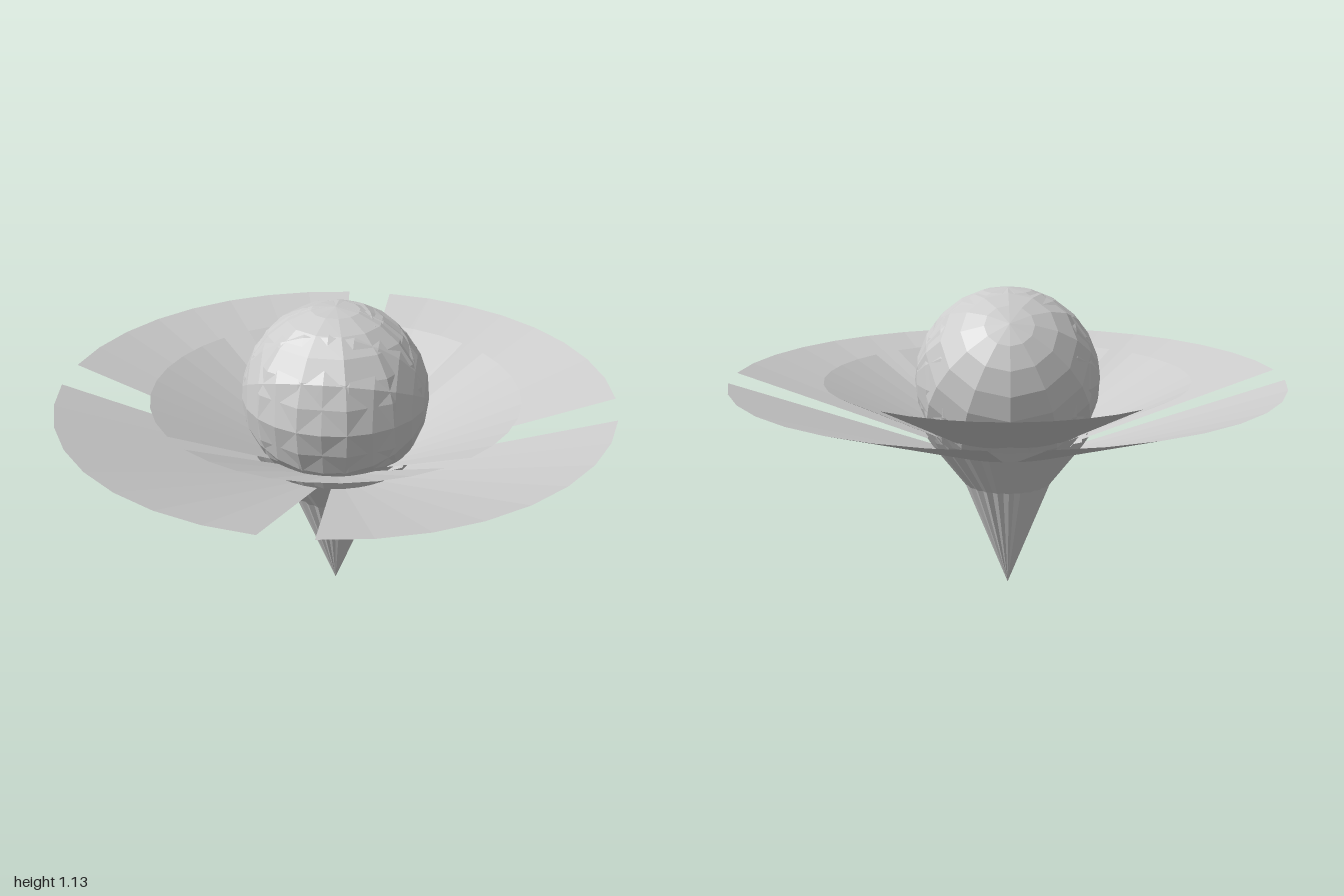
import * as THREE from 'three';

const material = new THREE.MeshStandardMaterial({ color: 0xcccccc, flatShading: true, side: THREE.DoubleSide });

function add(parent, name, geometry) {
  const mesh = new THREE.Mesh(geometry, material);
  mesh.name = name;
  parent.add(mesh);
  return mesh;
}

// Four 80 degree conical petals, open at the gaps between them
function petalRing(name, base, rim, firstAngle) {
  const ring = new THREE.Group();
  ring.name = name + 's';
  const profile = [new THREE.Vector2(...base), new THREE.Vector2(...rim)];
  const width = THREE.MathUtils.degToRad(80);
  for (let i = 0; i < 4; i++) {
    const middle = firstAngle + i * Math.PI / 2;
    add(ring, name, new THREE.LatheGeometry(profile, 8, middle - width / 2, width));
  }
  return ring;
}

export function createModel() {
  const flower = new THREE.Group();
  flower.name = 'flower';

  flower.add(petalRing('outerPetal', [0.28, 0.555], [1, 0.8], Math.PI / 4));
  flower.add(petalRing('innerPetal', [0.25, 0.59], [0.665, 0.798], 0));

  // Fluted cone below the petals, pointed at the foot
  const flutes = 24;
  const profile = [[0, 0], [0.16, 0.4], [0.28, 0.555], [0.303, 0.59]].map(p => new THREE.Vector2(...p));
  const cone = new THREE.LatheGeometry(profile, flutes * 2);
  const pos = cone.attributes.position;
  for (let i = 0; i < pos.count; i++) {
    const column = Math.floor(i / profile.length);
    const k = column % 2 ? 0.95 : 1;
    pos.setX(i, pos.getX(i) * k);
    pos.setZ(i, pos.getZ(i) * k);
  }
  cone.computeVertexNormals();
  add(flower, 'flutedCone', cone);

  // Knobbly core: coarse balls turned against each other so their corners poke through
  const core = new THREE.Group();
  core.name = 'core';
  core.position.y = 0.79;
  flower.add(core);
  const turns = [
    [0, Math.PI / 12, 0, 0],
    [0, 0, Math.PI / 2, 0],
    [-0.75, 0, 0, -0.012],
  ];
  for (const [x, y, z, shift] of turns) {
    const ball = add(core, 'coreBall', new THREE.SphereGeometry(0.337, 12, 12));
    ball.rotation.set(x, y, z);
    ball.position.z = shift;
  }
  return flower;
}
